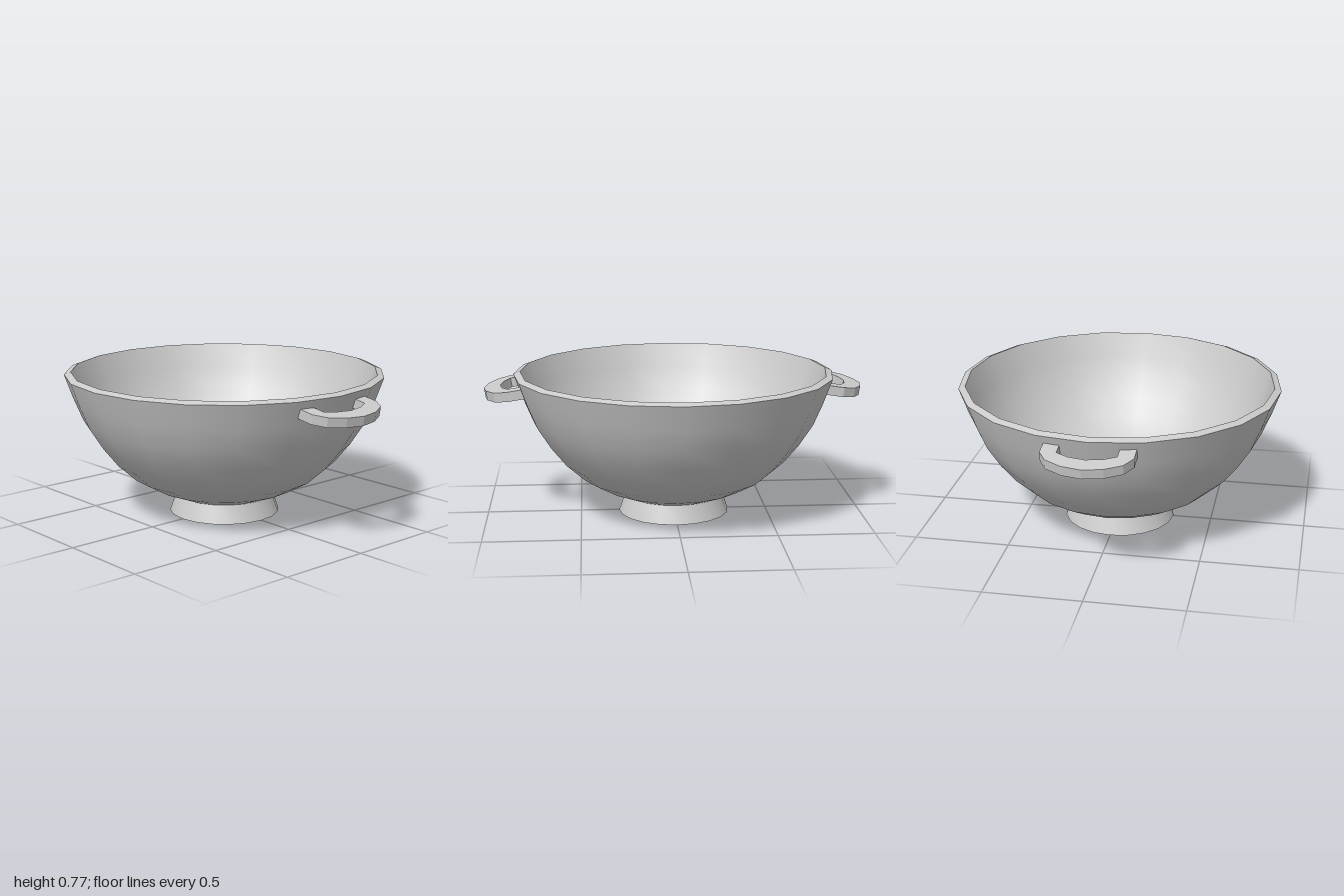
import * as THREE from 'three';
import { toCreasedNormals } from 'three/addons/utils/BufferGeometryUtils.js';

const SIDES = 20;
const material = new THREE.MeshStandardMaterial({ color: 0xcccccc });

function makeMesh(name, geometry, crease) {
  const mesh = new THREE.Mesh(toCreasedNormals(geometry, crease), material);
  mesh.name = name;
  return mesh;
}

function lathe(name, profile) {
  const points = profile.map(([r, y]) => new THREE.Vector2(r, y));
  return makeMesh(name, new THREE.LatheGeometry(points, SIDES), 0.6);
}

// Flat C-shaped grip, drooping slightly outwards from the bowl wall
function handleGeometry() {
  const outer = [[-0.01, 0.225], [0.085, 0.225], [0.15, 0.185], [0.195, 0.1], [0.213, 0]];
  const inner = [[0.125, 0], [0.11, 0.085], [0.08, 0.145], [-0.01, 0.145]];
  const mirror = (pts) => pts.map(([u, v]) => [u, -v]).reverse();
  const outline = [
    ...outer, ...mirror(outer).slice(1),
    ...mirror(inner), ...inner.slice(1),
  ];
  const shape = new THREE.Shape(outline.map(([u, v]) => new THREE.Vector2(u, v)));
  const geometry = new THREE.ExtrudeGeometry(shape, { depth: 0.05, bevelEnabled: false });
  geometry.rotateX(Math.PI / 2);
  geometry.rotateZ(-0.155);
  geometry.translate(0.79, 0.718, 0);
  return geometry;
}

export function createModel() {
  const model = new THREE.Group();
  model.name = 'bowl with handles';

  // Bowl: outer wall upwards, sloped rim, inner wall back down
  model.add(lathe('bowl', [
    [0, 0.07], [0.14, 0.075], [0.26, 0.095], [0.385, 0.145], [0.5, 0.21],
    [0.6, 0.3], [0.68, 0.4], [0.75, 0.51], [0.8, 0.63], [0.845, 0.757],
    [0.81, 0.77],
    [0.765, 0.645], [0.715, 0.53], [0.647, 0.425], [0.57, 0.33], [0.475, 0.245],
    [0.37, 0.183], [0.25, 0.135], [0.13, 0.115], [0, 0.11],
  ]));

  // Hollow flared foot ring
  model.add(lathe('foot', [
    [0.295, 0], [0.262, 0.096], [0.22, 0.096], [0.25, 0], [0.295, 0],
  ]));

  // Pair of side handles
  for (const [name, turn] of [['leftHandle', 0], ['rightHandle', Math.PI]]) {
    const handle = makeMesh(name, handleGeometry(), 0.3);
    handle.rotation.y = turn;
    model.add(handle);
  }

  return model;
}
